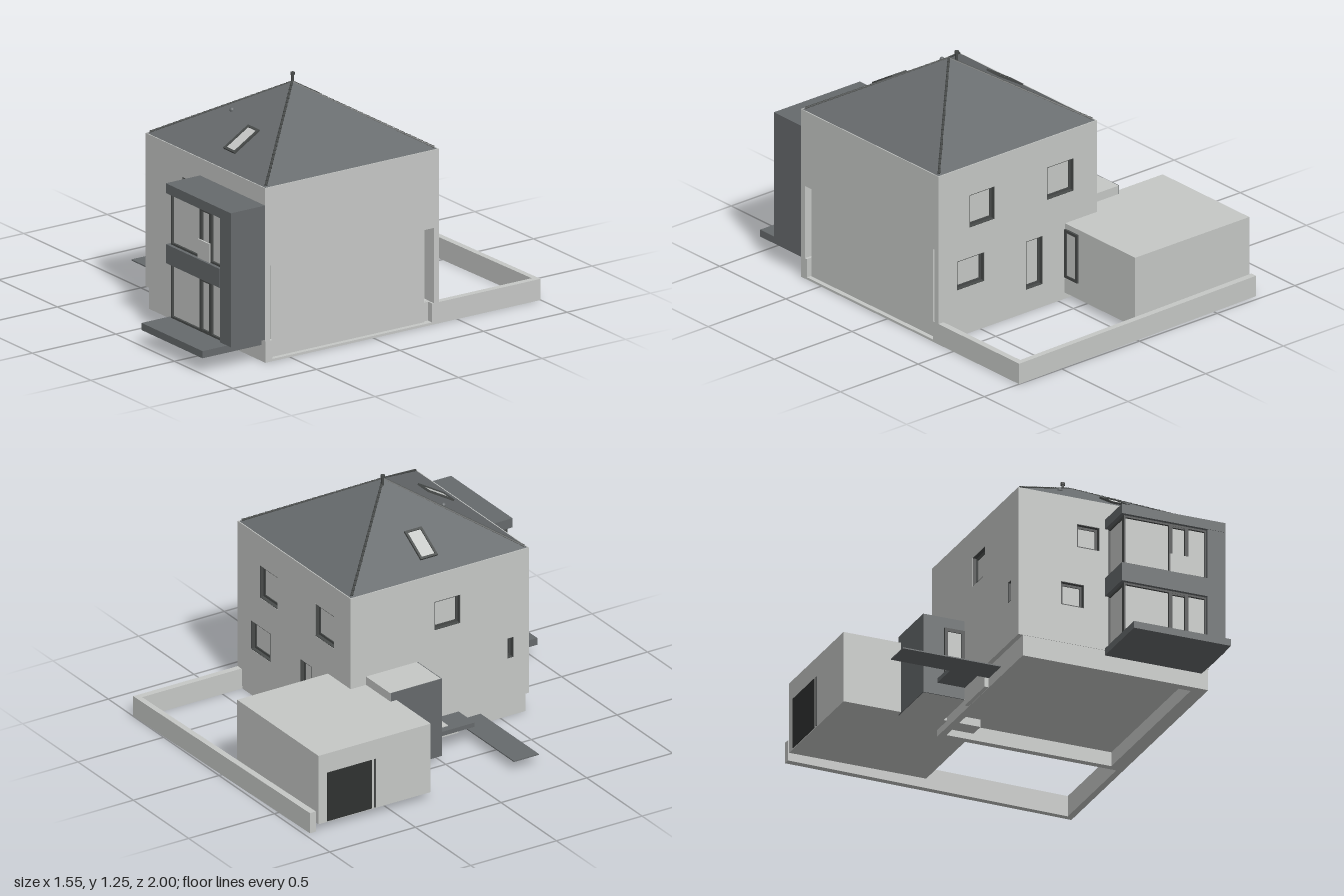
import * as THREE from 'three';

const mat = (name, color) => {
  const m = new THREE.MeshStandardMaterial({ color });
  m.name = name;
  return m;
};

export function createModel() {
  const root = new THREE.Group();
  root.name = 'house';
  const light = mat('lightRender', 0xc6c8c6);
  const dark = mat('slateGrey', 0x666a6c);
  const frameMat = mat('frameGrey', 0x484b4a);
  const black = mat('garageDoorDark', 0x303231);

  const add = (parent, name, geo, material) => {
    const m = new THREE.Mesh(geo, material);
    m.name = name;
    parent.add(m);
    return m;
  };
  // Box given by its minimum and maximum on each axis
  const box = (name, material, x0, x1, y0, y1, z0, z1, parent = root) => {
    const m = add(parent, name, new THREE.BoxGeometry(x1 - x0, y1 - y0, z1 - z0), material);
    m.position.set((x0 + x1) / 2, (y0 + y1) / 2, (z0 + z1) / 2);
    return m;
  };
  const rect = (C, x0, x1, y0, y1) => {
    const s = new C();
    s.moveTo(x0, y0);
    s.lineTo(x1, y0);
    s.lineTo(x1, y1);
    s.lineTo(x0, y1);
    s.closePath();
    return s;
  };
  // Rectangular ring with a border b, from z to z + depth
  const ring = (parent, name, material, [x0, x1, y0, y1], b, z, depth) => {
    const s = rect(THREE.Shape, x0, x1, y0, y1);
    s.holes.push(rect(THREE.Path, x0 + b, x1 - b, y0 + b, y1 - b));
    const m = add(parent, name, new THREE.ExtrudeGeometry(s, { depth, bevelEnabled: false }), material);
    m.position.z = z;
    return m;
  };
  // Framed pane in the local xy plane, facing +z
  const pane = (parent, name, r, z, b = 0.015) => {
    const [x0, x1, y0, y1] = r;
    ring(parent, name + 'Frame', frameMat, r, b, z, 0.01);
    box(name + 'Glass', light, x0 + b, x1 - b, y0 + b, y1 - b, z, z + 0.005, parent);
  };
  const face = (name, rotY, x, z) => {
    const g = new THREE.Group();
    g.name = name;
    g.rotation.y = rotY;
    g.position.set(x, 0, z);
    root.add(g);
    return g;
  };
  // Outer wall with recessed windows
  const T = 0.03;
  const wall = (name, rotY, x, z, u0, u1, windows) => {
    const g = face(name, rotY, x, z);
    const s = rect(THREE.Shape, u0, u1, 0.11, 0.905);
    for (const [a, b, c, d] of windows) s.holes.push(rect(THREE.Path, a, b, c, d));
    add(g, name + 'Panel', new THREE.ExtrudeGeometry(s, { depth: T, bevelEnabled: false }), light).position.z = -T;
    for (const r of windows) {
      ring(g, 'windowReveal', frameMat, r, 0.003, -T, T - 0.001);
      pane(g, 'window', r, -T);
    }
  };

  // Main house walls
  box('houseCore', light, -0.212, 0.70, 0.11, 0.9, -0.358, 0.618);
  box('upperRightWall', light, 0.70, 0.775, 0.5, 0.905, -0.36, 0.62);
  box('lowerRightPanel', light, 0.70, 0.75, 0.012, 0.5, -0.32, 0.6);
  box('rightGroundStrip', light, 0.74, 0.775, 0, 0.012, -0.39, 0.645);
  wall('frontWall', 0, 0, 0.65, -0.245, 0.775, [
    [0.07, 0.19, 0.64, 0.765], [-0.015, 0.107, 0.315, 0.44],
  ]);
  wall('backWall', Math.PI, 0, -0.39, -0.775, 0.245, [
    [-0.575, -0.415, 0.57, 0.745], [-0.075, 0.095, 0.57, 0.745],
    [-0.655, -0.48, 0.255, 0.41], [-0.21, -0.105, 0.125, 0.385],
  ]);
  wall('leftSideWall', -Math.PI / 2, -0.245, 0, -0.36, 0.62, [
    [0.10, 0.25, 0.6, 0.755], [0.525, 0.56, 0.33, 0.44],
  ]);

  // Hollow foundation below a floor slab
  box('floorSlab', light, -0.215, 0.73, 0.075, 0.112, -0.38, 0.64);
  box('foundationFront', light, -0.22, 0.775, 0, 0.11, 0.605, 0.648);
  box('foundationBack', light, -0.22, 0.775, 0, 0.11, -0.385, -0.35);
  box('foundationLeft', light, -0.22, -0.185, 0, 0.11, -0.35, 0.605);
  box('foundationRight', light, 0.70, 0.74, 0, 0.11, -0.35, 0.605);

  // Hipped roof
  const cx = 0.265, cz = 0.13, hw = 0.505, hd = 0.515, y0 = 0.905, rise = 0.31;
  const apex = new THREE.Vector3(0.275, y0 + rise, cz);
  const cone = new THREE.ConeGeometry(Math.SQRT1_2, 1, 4);
  cone.rotateY(Math.PI / 4);
  cone.scale(2 * hw, rise, 2 * hd);
  const roofGeo = cone.toNonIndexed();
  roofGeo.computeVertexNormals();
  add(root, 'roof', roofGeo, dark).position.set(cx, y0 + rise / 2, cz);

  // Hip tiles
  const tile = new THREE.CylinderGeometry(0.006, 0.008, 0.03, 6);
  tile.rotateX(Math.PI / 2);
  for (const sx of [-1, 1]) for (const sz of [-1, 1]) {
    const corner = new THREE.Vector3(cx + sx * hw * 0.98, y0 + 0.006, cz + sz * hd * 0.98);
    const top = new THREE.Vector3(cx, apex.y - 0.004, cz);
    for (let i = 0; i < 24; i++) {
      const t = add(root, 'hipTile', tile, frameMat);
      t.position.lerpVectors(corner, top, (i + 0.5) / 24);
      t.lookAt(top);
    }
  }

  // Skylights lying on the slopes
  const skylight = (name, rotY, x, z, slope, w, h, y) => {
    const g = new THREE.Group();
    g.name = name;
    g.rotation.set(slope - Math.PI / 2, rotY, 0, 'YXZ');
    g.position.set(x, y, z);
    root.add(g);
    pane(g, name, [-w / 2, w / 2, -h / 2, h / 2], 0.001, 0.012);
  };
  skylight('frontSkylight', 0, 0.343, 0.485, Math.atan(rise / hd), 0.095, 0.175, 1.001);
  skylight('sideSkylight', -Math.PI / 2, -0.085, 0.122, Math.atan(rise / hw), 0.1, 0.175, 1.0);

  // Roof vents
  const pipe = new THREE.CylinderGeometry(0.007, 0.007, 0.07, 12);
  add(root, 'ventPipe', pipe, frameMat).position.set(0.235, 1.212, 0.107);
  add(root, 'ventCap', new THREE.CylinderGeometry(0.011, 0.011, 0.014, 12), frameMat).position.set(0.235, 1.242, 0.107);
  add(root, 'roofVent', new THREE.SphereGeometry(0.013, 12, 8), dark).position.set(0.1, 1.068, 0.375);

  // Two-storey front bay
  box('bayPillar', dark, 0.68, 0.775, 0.12, 0.815, 0.65, 0.853);
  box('bayRoof', dark, 0.22, 0.775, 0.765, 0.8155, 0.65, 0.855);
  box('bayMiddleBand', dark, 0.22, 0.68, 0.402, 0.5, 0.65, 0.855);
  box('terraceSlab', dark, 0.22, 0.74, 0.083, 0.12, 0.645, 1.0);
  for (const [a, b] of [[0.12, 0.402], [0.5, 0.765]]) {
    box('bayGlass', light, 0.245, 0.68, a, b, 0.65, 0.825);
    ring(root, 'bayFrontFrame', frameMat, [0.238, 0.682, a, b], 0.01, 0.815, 0.022);
    for (const x of [0.48, 0.565]) box('bayMullion', frameMat, x, x + 0.019, a, b, 0.82, 0.837);
    box('doorTopRail', frameMat, 0.499, 0.565, b - 0.018, b, 0.82, 0.836);
    box('doorBottomRail', frameMat, 0.499, 0.565, a, a + 0.015, 0.82, 0.836);
    const side = face('baySideFrame', -Math.PI / 2, 0.245, 0);
    ring(side, 'baySideRing', frameMat, [0.65, 0.83, a, b], 0.01, 0, 0.007);
  }
  box('balconyScreen', light, 0.482, 0.582, 0.503, 0.6, 0.84, 0.848);

  // Garage
  box('garage', light, -0.775, -0.04, 0.035, 0.41, -0.92, -0.265);
  box('garageDoor', black, -0.779, -0.774, 0.04, 0.305, -0.87, -0.61);
  box('garageSlimDoor', frameMat, -0.778, -0.774, 0.04, 0.305, -0.595, -0.585);
  const gSide = face('garageSideDoor', Math.PI / 2, -0.04, 0);
  pane(gSide, 'sideDoor', [0.395, 0.492, 0.122, 0.382], 0);

  // Entrance block with dark cladding
  box('entranceBlock', light, -0.462, -0.24, 0.032, 0.455, -0.3, -0.004);
  box('entranceFrontCladding', dark, -0.465, -0.245, 0.032, 0.4545, -0.004, 0.001);
  box('entranceSideCladding', dark, -0.466, -0.462, 0.032, 0.4545, -0.299, 0.001);
  const entry = face('entranceDoor', 0, 0, 0.001);
  pane(entry, 'frontDoor', [-0.355, -0.247, 0.12, 0.397], 0, 0.018);

  // Landing and path
  box('landing', dark, -0.39, -0.222, 0.095, 0.118, 0, 0.24);
  box('doorMat', light, -0.352, -0.245, 0.116, 0.122, 0.002, 0.11);
  box('landingSupport', light, -0.243, -0.222, 0, 0.095, 0.0, 0.24);
  box('path', dark, -0.745, -0.22, 0.05, 0.056, 0.24, 0.385);

  // Garden wall
  box('gardenWallSide', light, 0.742, 0.775, 0, 0.11, -0.985, -0.385);
  const plan = new THREE.Shape();
  plan.moveTo(-0.775, 0.935);
  plan.lineTo(0.775, 0.97);
  plan.lineTo(0.775, 1.0);
  plan.lineTo(-0.775, 0.97);
  plan.closePath();
  const backWall = new THREE.ExtrudeGeometry(plan, { depth: 0.11, bevelEnabled: false });
  backWall.rotateX(-Math.PI / 2);
  add(root, 'gardenWallBack', backWall, light);

  return root;
}
